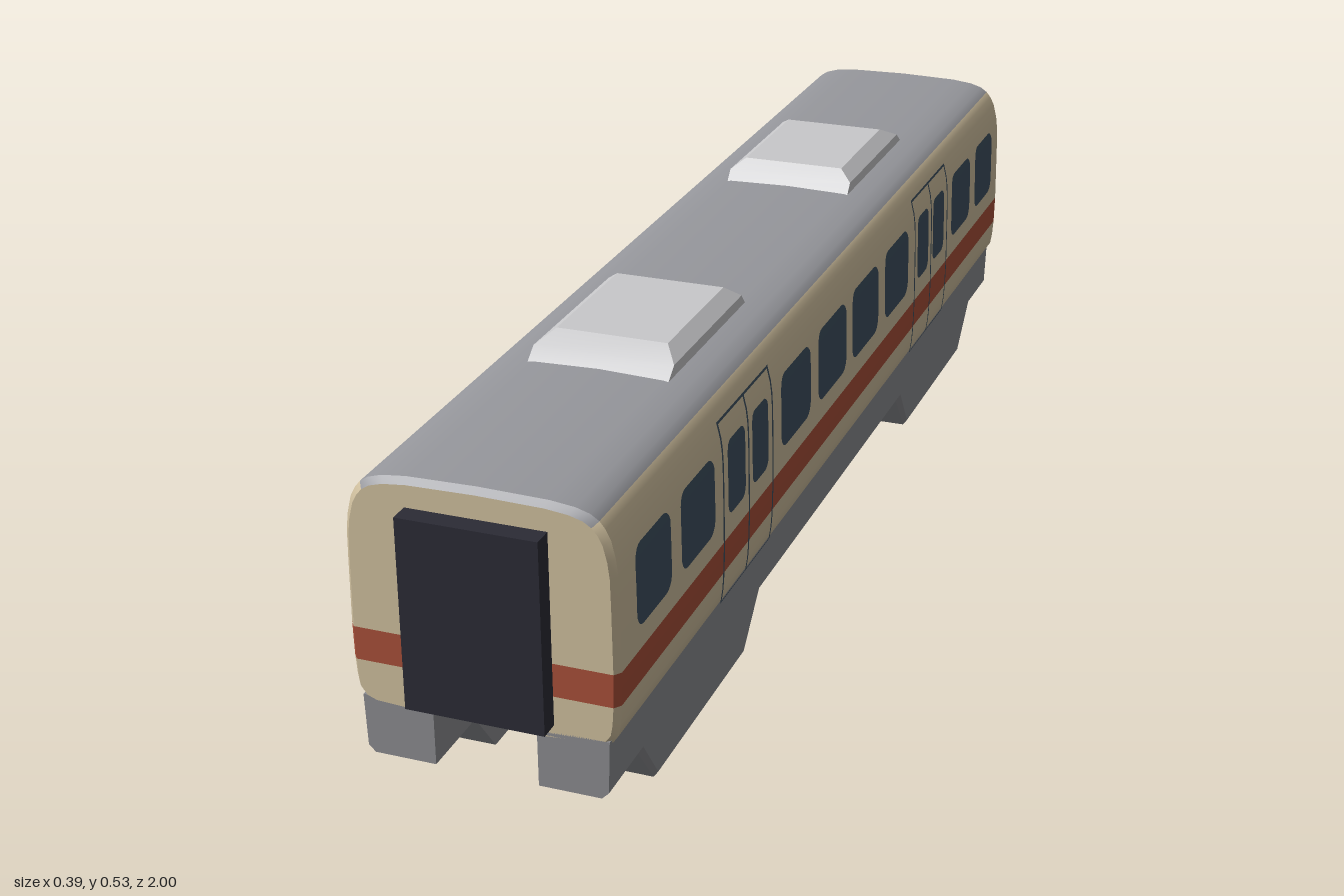
import * as THREE from 'three';
import { toCreasedNormals } from 'three/addons/utils/BufferGeometryUtils.js';

const mat = (name, color) => {
  const m = new THREE.MeshStandardMaterial({ color });
  m.name = name;
  return m;
};

// Half cross-section of the body, floor centre up to roof centre
const PROFILE = [
  [0, 0.148], [0.08, 0.149], [0.165, 0.154], [0.179, 0.16], [0.187, 0.172], [0.19, 0.19],
  [0.192, 0.218], [0.193, 0.267], [0.192, 0.36], [0.191, 0.405], [0.188, 0.43], [0.182, 0.455],
  [0.175, 0.469], [0.167, 0.479], [0.155, 0.487], [0.135, 0.493], [0.1, 0.497], [0, 0.499],
];
const STRIPE_LOW = 0.218, STRIPE_HIGH = 0.267, ROOF_START = 0.479;

// Width of the body side at height y
function sideX(y) {
  for (let i = 3; i < PROFILE.length - 1; i++) {
    const [x0, y0] = PROFILE[i], [x1, y1] = PROFILE[i + 1];
    if (y >= y0 && y <= y1) return x0 + (x1 - x0) * (y - y0) / (y1 - y0);
  }
  return 0.178;
}

function geometryFrom(points, crease) {
  const g = new THREE.BufferGeometry();
  g.setAttribute('position', new THREE.Float32BufferAttribute(points.flat(), 3));
  return toCreasedNormals(g, crease);
}

// Solid through closed rings that run counter-clockwise about the loft direction
function loft(rings, crease = 0.4) {
  const t = [], n = rings[0].length, last = rings.length - 1;
  for (let i = 0; i < last; i++) {
    for (let j = 0; j < n; j++) {
      const k = (j + 1) % n;
      const a = rings[i][j], b = rings[i][k], c = rings[i + 1][k], d = rings[i + 1][j];
      t.push(a, b, c, a, c, d);
    }
  }
  for (let j = 1; j < n - 1; j++) {
    t.push(rings[0][0], rings[0][j + 1], rings[0][j]);
    t.push(rings[last][0], rings[last][j], rings[last][j + 1]);
  }
  return geometryFrom(t, crease);
}

// Body shell with bevelled ends, split into cream, red and roof bands
function bodyGeometry() {
  const bands = [[], [], []];
  const quad = (band, a, b, c, d, flip) =>
    band.push(...(flip ? [a, c, b, a, d, c] : [a, b, c, a, c, d]));
  const inset = ([x, y]) => [x * 0.96,
    y > 0.4 ? y - 0.08 * (y - 0.4) : y < 0.2 ? y + 0.12 * (0.2 - y) : y];
  const small = PROFILE.map(inset);
  const stations = [[-0.97, small], [-0.96, PROFILE], [0.96, PROFILE], [0.97, small]];
  for (let i = 0; i < PROFILE.length - 1; i++) {
    const y = PROFILE[i][1];
    const red = y >= STRIPE_LOW && y < STRIPE_HIGH;
    const wall = bands[red ? 1 : y >= ROOF_START ? 2 : 0];
    for (let j = 0; j < 3; j++) {
      const [z0, p] = stations[j], [z1, q] = stations[j + 1];
      for (const s of [1, -1]) {
        quad(wall, [s * p[i][0], p[i][1], z0], [s * p[i + 1][0], p[i + 1][1], z0],
          [s * q[i + 1][0], q[i + 1][1], z1], [s * q[i][0], q[i][1], z1], s < 0);
      }
    }
    // End faces, row by row
    const [x0, y0] = small[i], [x1, y1] = small[i + 1];
    for (const s of [1, -1]) {
      const z = 0.97 * s;
      quad(bands[red ? 1 : 0], [-x0, y0, z], [x0, y0, z], [x1, y1, z], [-x1, y1, z], s < 0);
    }
  }
  const g = geometryFrom(bands.flat(), 0.6);
  g.clearGroups();
  let start = 0;
  bands.forEach((b, i) => {
    g.addGroup(start, b.length, i);
    start += b.length;
  });
  return g;
}

// Thin round-cornered plate that follows the curve of the body side
function sidePanel(side, z0, z1, y0, y1, r, lift) {
  const h = y1 - y0, w = z1 - z0, rows = 16;
  const g = new THREE.PlaneGeometry(1, 1, 1, rows);
  const p = g.attributes.position;
  for (let i = 0; i < p.count; i++) {
    const row = Math.floor(i / 2) / rows;
    const v = (1 - Math.cos(Math.PI * row)) / 2;
    const y = y1 - v * h;
    const edge = Math.min(y - y0, y1 - y);
    const cut = edge < r ? r - Math.sqrt(Math.max(0, r * r - (r - edge) ** 2)) : 0;
    const u = Math.sign(p.getX(i)) * (w / 2 - cut);
    p.setXYZ(i, side * (sideX(y) + lift), y, (z0 + z1) / 2 - side * u);
  }
  g.computeVertexNormals();
  return g;
}

export function createModel() {
  const model = new THREE.Group();
  model.name = 'railCarriage';
  const cream = mat('cream', 0xcfbf9e);
  const red = mat('red', 0xa84f39);
  const roof = mat('roofGrey', 0x96979c);
  const ventGrey = mat('lightGrey', 0xc8c8ca);
  const dark = mat('darkRubber', 0x2b2b35);
  const glass = mat('blueGlass', 0x3d4f5f);
  const skirtGrey = mat('skirtGrey', 0x8b8c90);

  const add = (name, geometry, material) => {
    const m = new THREE.Mesh(geometry, material);
    m.name = name;
    model.add(m);
    return m;
  };

  add('body', bodyGeometry(), [cream, red, roof]);

  // Skirts: deep over each bogie, shallow between
  const half = [[0.97, 0.077], [0.85, 0.077], [0.79, 0], [0.44, 0], [0.38, 0.077]];
  const stations = [...half.map(([z, b]) => [-z, b]), ...half.map((s) => s).reverse()];
  for (const s of [1, -1]) {
    const rings = stations.map(([z, b]) => {
      const ring = [[0.075, b], [0.165, b], [0.172 + 0.04 * b, b + 0.01], [0.178, 0.165], [0.075, 0.165]]
        .map(([x, y]) => [s * x, y, z]);
      return s > 0 ? ring : ring.reverse();
    });
    add(s > 0 ? 'leftSkirt' : 'rightSkirt', loft(rings), skirtGrey);
  }

  for (const e of [1, -1]) {
    const end = e > 0 ? 'front' : 'back';

    // Gangway at each end and bogie pivot below
    add(end + 'Gangway', new THREE.BoxGeometry(0.2, 0.282, 0.04), dark).position.set(0, 0.316, 0.98 * e);
    add(end + 'BogiePivot', new THREE.BoxGeometry(0.084, 0.03, 0.1), dark).position.set(0, 0.145, 0.615 * e);

    // Roof vent with sloped ends and chamfered sides
    const ring = (y, w, near, far) => {
      const hi = Math.max(near * e, far * e), lo = Math.min(near * e, far * e);
      return [[-w, y, hi], [w, y, hi], [w, y, lo], [-w, y, lo]];
    };
    add(end + 'RoofVent', loft([
      ring(0.492, 0.107, 0.252, 0.575),
      ring(0.513, 0.107, 0.27, 0.548),
      ring(0.53, 0.085, 0.289, 0.515),
    ], 0.2), ventGrey);

    for (const s of [1, -1]) {
      const panel = (name, za, zb, y0, y1, r, lift) =>
        add(name, sidePanel(s, Math.min(za * e, zb * e), Math.max(za * e, zb * e), y0, y1, r, lift), glass);

      // Saloon windows
      for (const [a, b] of [[0.016, 0.16], [0.198, 0.337], [0.62, 0.749], [0.786, 0.909]]) {
        panel('window', a, b, 0.302, 0.42, 0.022, 0.002);
      }
      // Double door: two panes and thin seams
      for (const [a, b] of [[0.396, 0.465], [0.495, 0.567]]) {
        panel('doorWindow', a, b, 0.302, 0.416, 0.016, 0.002);
      }
      for (const z of [0.378, 0.482, 0.587]) {
        panel('doorSeam', z - 0.0025, z + 0.0025, 0.17, 0.455, 0, 0.0025);
      }
      for (const y of [0.17, 0.451]) {
        panel('doorEdge', 0.378, 0.587, y, y + 0.004, 0, 0.0025);
      }
    }
  }
  return model;
}
